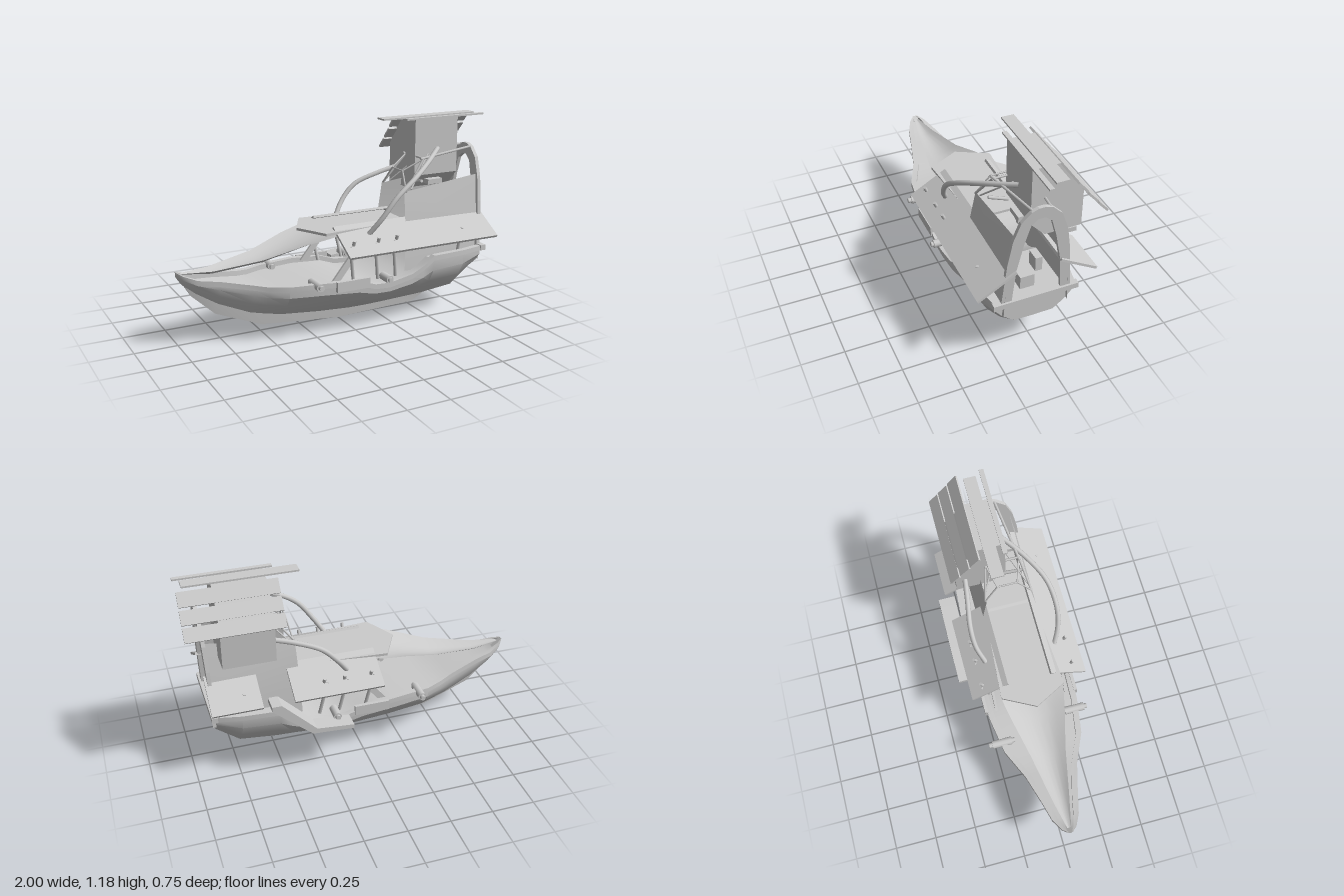
import * as THREE from 'three';
import { toCreasedNormals } from 'three/addons/utils/BufferGeometryUtils.js';

const C = 0.022; // z of the boat's centreline
const V = (x, y, z) => new THREE.Vector3(x, y, z);
const grey = new THREE.MeshStandardMaterial({ color: 0xcccccc });
const sheetMat = new THREE.MeshStandardMaterial({ color: 0xcccccc, side: THREE.DoubleSide });

export function createModel() {
  const boat = new THREE.Group();

  const add = (name, geo, mat = grey) => {
    const m = new THREE.Mesh(geo, mat);
    m.name = name;
    boat.add(m);
    return m;
  };
  const box = (name, x0, x1, y0, y1, z0, z1) =>
    add(name, new THREE.BoxGeometry(x1 - x0, y1 - y0, z1 - z0))
      .position.set((x0 + x1) / 2, (y0 + y1) / 2, (z0 + z1) / 2);
  // Board running along x, its width going from (z0, y0) to (z1, y1)
  const plank = (name, x0, x1, [z0, y0], [z1, y1], t = 0.012) => {
    const m = add(name, new THREE.BoxGeometry(x1 - x0, t, Math.hypot(z1 - z0, y1 - y0)));
    m.position.set((x0 + x1) / 2, (y0 + y1) / 2, (z0 + z1) / 2);
    m.rotation.x = -Math.atan2(y1 - y0, z1 - z0);
  };
  const bar = (name, a, b, r = 0.005, sides = 6) => {
    const m = add(name, new THREE.CylinderGeometry(r, r, a.distanceTo(b), sides));
    m.position.copy(a).lerp(b, 0.5);
    m.quaternion.setFromUnitVectors(V(0, 1, 0), b.clone().sub(a).normalize());
  };
  const tube = (name, pts, r) =>
    add(name, new THREE.TubeGeometry(new THREE.CatmullRomCurve3(pts), 28, r, 8));
  // Surface through cross-sections that advance along +x
  const loft = (name, rings, closed, mat) => {
    const n = rings[0].length, pos = [], idx = [];
    rings.forEach((r) => r.forEach((p) => pos.push(p.x, p.y, p.z)));
    for (let i = 0; i < rings.length - 1; i++)
      for (let j = 0; j < (closed ? n : n - 1); j++) {
        const k = (j + 1) % n, a = i * n, b = a + n;
        idx.push(a + j, b + j, a + k, a + k, b + j, b + k);
      }
    if (closed) [0, rings.length - 1].forEach((i) => {
      const c = V(0, 0, 0), ci = pos.length / 3;
      rings[i].forEach((p) => c.addScaledVector(p, 1 / n));
      pos.push(c.x, c.y, c.z);
      for (let j = 0; j < n; j++) {
        const a = i * n + j, b = i * n + (j + 1) % n;
        idx.push(ci, i ? b : a, i ? a : b);
      }
    });
    const g = new THREE.BufferGeometry();
    g.setAttribute('position', new THREE.Float32BufferAttribute(pos, 3));
    g.setIndex(idx);
    return add(name, toCreasedNormals(g, 0.5), mat);
  };
  const polygon = (pts) => new THREE.Shape(pts.map(([x, y]) => new THREE.Vector2(x, y)));
  const slab = (pts, depth) => new THREE.ExtrudeGeometry(polygon(pts), { depth, bevelEnabled: false });

  // Hull with rim and sunken deck: x, rim height, half width, bottom height
  const stations = [
    [-1, 0.44, 0.012, 0.41], [-0.97, 0.425, 0.045, 0.365], [-0.9, 0.4, 0.08, 0.31],
    [-0.78, 0.385, 0.11, 0.235], [-0.6, 0.35, 0.16, 0.16], [-0.52, 0.337, 0.195, 0.145],
    [-0.42, 0.335, 0.24, 0.13], [-0.2, 0.335, 0.275, 0.115], [0, 0.32, 0.285, 0.105],
    [0.1, 0.285, 0.285, 0.105], [0.2, 0.28, 0.285, 0.107], [0.35, 0.31, 0.285, 0.112],
    [0.43, 0.35, 0.285, 0.114], [0.5, 0.4, 0.285, 0.116], [0.72, 0.4, 0.27, 0.135], [0.86, 0.4, 0.24, 0.235],
  ];
  loft('hull', stations.map(([x, g, w, b]) => {
    const h = g - b, rim = Math.min(0.03, h * 0.4), inset = Math.min(0.035, w * 0.4);
    const half = [[0.48 * w, b + 0.02 * h], [0.56 * w, b + 0.1 * h], [0.8 * w, b + 0.38 * h],
      [0.96 * w, b + 0.66 * h], [0.97 * w, g - rim], [w, g - rim], [w, g], [w - inset, g], [w - inset, g - rim]];
    return [V(x, b, C), ...half.map(([z, y]) => V(x, y, C + z)), V(x, g - rim, C),
      ...half.reverse().map(([z, y]) => V(x, y, C - z))];
  }), true);
  box('sternRail', 0.855, 0.89, 0.372, 0.405, C - 0.25, C + 0.25);

  // Keel fin: x, top, bottom
  loft('keel', [[-1.0, 0.44, 0.425], [-0.92, 0.37, 0.29], [-0.78, 0.27, 0.16], [-0.5, 0.16, 0.045],
    [0, 0.125, 0], [0.52, 0.13, 0.018], [0.73, 0.16, 0.13]].map(([x, t, b]) =>
    [V(x, b, C), V(x, t, C + 0.016), V(x, t, C - 0.016)]), true);

  // Sagging cover from the bow up to the roof: x, edge height, centre height, half width
  loft('bowCover', [[-0.97, 0.43, 0.425, 0.012], [-0.8, 0.43, 0.405, 0.05], [-0.52, 0.47, 0.43, 0.105],
    [-0.3, 0.535, 0.49, 0.16], [-0.18, 0.56, 0.525, 0.185], [-0.05, 0.58, 0.565, 0.185]].map(([x, e, c, w]) =>
    [-1, -0.66, -0.33, 0, 0.33, 0.66, 1].map((t) => V(x, c + (e - c) * t * t, C + t * w))), false, sheetMat);

  // Flat roof with a pointed front
  const roof = add('roof', slab([[-0.27, 0], [-0.17, -0.19], [0.38, -0.15], [0.38, 0.15], [-0.17, 0.19]], 0.015));
  roof.rotation.x = Math.PI / 2;
  roof.position.set(0, 0.6, C);

  // Side awnings; the one on the -z side is in two pieces
  plank('awning', -0.1, 0.9, [0.15, 0.612], [0.37, 0.485], 0.015);
  plank('awning', -0.1, 0.43, [-0.106, 0.612], [-0.326, 0.485], 0.015);
  plank('awning', 0.61, 0.9, [-0.106, 0.612], [-0.326, 0.485], 0.015);

  for (const s of [1, -1]) {
    const z = (d) => C + s * d;
    // Studs and posts of the awnings
    for (const x of [-0.04, 0.12, 0.24]) {
      bar('awningStud', V(x, 0.53, z(0.27)), V(x, 0.565, z(0.285)), 0.01);
      bar('awningPost', V(x + 0.02, 0.3, z(0.235)), V(x - 0.02, 0.535, z(0.275)), 0.01);
    }
    bar('sternPost', V(0.7, 0.39, z(0.225)), V(0.7, 0.545, z(0.265)), 0.01);
    const strut = add('slantedStrut', slab([[-0.15, 0.32], [-0.1, 0.32], [0.06, 0.52], [0.01, 0.52]], 0.015));
    strut.position.z = z(0.22) - 0.0075;
    // Fenders
    for (const x of [s > 0 ? -0.26 : -0.355, 0.175]) {
      const y = x < 0 ? 0.325 : 0.312;
      bar('fender', V(x, y, z(x < 0 ? 0.18 : 0.23)), V(x, y, z(x < 0 ? 0.3 : 0.32)), 0.024, 10);
      bar('fenderEnd', V(x, y, z(x < 0 ? 0.16 : 0.22)), V(x, y, z(x < 0 ? 0.32 : 0.335)), 0.015, 10);
    }
    box('rimPad', -0.15, 0.06, 0.275, 0.335, z(0.282) - 0.01, z(0.282) + 0.01);
    // Cabin side wall leaning in along the arch
    loft('cabinWall', [[0.35, 0.37, 0.77], [0.88, 0.88, 0.83]].map(([xb, xt, top]) =>
      [0, 0.5, 1].map((t) => V(xb + (xt - xb) * t, 0.3 + (top - 0.3) * t, z(0.19 - 0.055 * t * t)))), false, sheetMat);
    // Frame above the cabin wall
    bar('frameBar', V(0.5, 0.95, z(0.1)), V(0.89, 0.985, z(0.05)), 0.008);
    bar('frameBar', V(0.38, 0.77, z(0.14)), V(0.52, 0.95, z(0.1)), 0.007);
    bar('frameBar', V(0.4, 0.88, z(0.06)), V(0.52, 0.95, z(0.1)));
    bar('frameBar', V(0.42, 0.78, z(0.13)), V(0.6, 0.96, z(0.02)));
    bar('frameBar', V(0.38, 0.77, z(0.14)), V(0.4, 0.88, z(0.06)));
  }
  bar('frameBar', V(0.4, 0.88, C - 0.06), V(0.4, 0.88, C + 0.06));
  bar('frameBar', V(0.52, 0.95, C - 0.1), V(0.52, 0.95, C + 0.1), 0.007);
  bar('frameBar', V(0.5, 0.82, 0.14), V(0.52, 0.79, 0.03), 0.01);

  // Stern arch, leaning slightly aft
  const outer = [[0.205, 0.39], [0.18, 0.67], [0.155, 0.82], [0.115, 0.93], [0.06, 0.985], [0.02, 1]];
  const inner = [[0.145, 0.39], [0.125, 0.62], [0.09, 0.79], [0.058, 0.9], [0.02, 0.932]];
  const mirror = (pts) => pts.map(([x, y]) => [-x, y]).reverse();
  const arch = slab([...outer, ...mirror(outer), ...mirror(inner).reverse(), ...[...inner].reverse()], 0.022);
  arch.rotateY(Math.PI / 2);
  const ap = arch.attributes.position;
  for (let i = 0; i < ap.count; i++) ap.setX(i, ap.getX(i) + 0.855 + (ap.getY(i) - 0.4) * 0.045);
  arch.computeVertexNormals();
  add('sternArch', arch).position.z = C;

  // Lookout tower with a sloping roof side
  const tower = slab([[-0.04, 1.17], [0.12, 1.17], [0.26, 1.0], [0.26, 0.74], [0.045, 0.74], [-0.04, 0.83]], 0.3);
  tower.rotateY(Math.PI / 2);
  add('tower', tower).position.x = 0.51;
  box('towerFoot', 0.6, 0.7, 0.77, 0.8, -0.005, 0.055);

  // Tower roof boards
  plank('roofBoard', 0.45, 1.0, [0.015, 1.175], [0.042, 1.175], 0.01);
  plank('roofBoard', 0.32, 0.965, [-0.085, 1.177], [-0.012, 1.177], 0.01);
  plank('roofBoard', 0.45, 1.0, [-0.118, 1.17], [-0.172, 1.105]);
  plank('roofBoard', 0.45, 1.0, [-0.178, 1.09], [-0.232, 1.03]);
  plank('roofBoard', 0.45, 1.0, [-0.238, 1.018], [-0.292, 0.958]);

  // Curved stays from the awnings up to the frame and tower
  tube('curvedStay', [V(0.09, 0.56, 0.225), V(0.16, 0.66, 0.265), V(0.25, 0.775, 0.277),
    V(0.38, 0.865, 0.25), V(0.52, 0.93, 0.165), V(0.67, 0.985, 0.04)], 0.015);
  tube('curvedStay', [V(0.09, 0.56, -0.2), V(0.16, 0.66, -0.237), V(0.25, 0.75, -0.243),
    V(0.4, 0.81, -0.22), V(0.55, 0.85, -0.2)], 0.015);

  // Boarding ramp on the -z side
  add('boardingRamp', slab([[0.575, 0.515], [0.52, 0.515], [0.32, 0.315], [0.1, 0.295], [0.1, 0.27],
    [0.345, 0.285], [0.575, 0.485]], 0.1)).position.z = -0.376;

  // Crates on the stern deck
  box('crate', 0.7, 0.78, 0.37, 0.45, -0.015, 0.07);
  box('crate', 0.6, 0.68, 0.37, 0.46, -0.112, -0.07);

  return boat;
}
